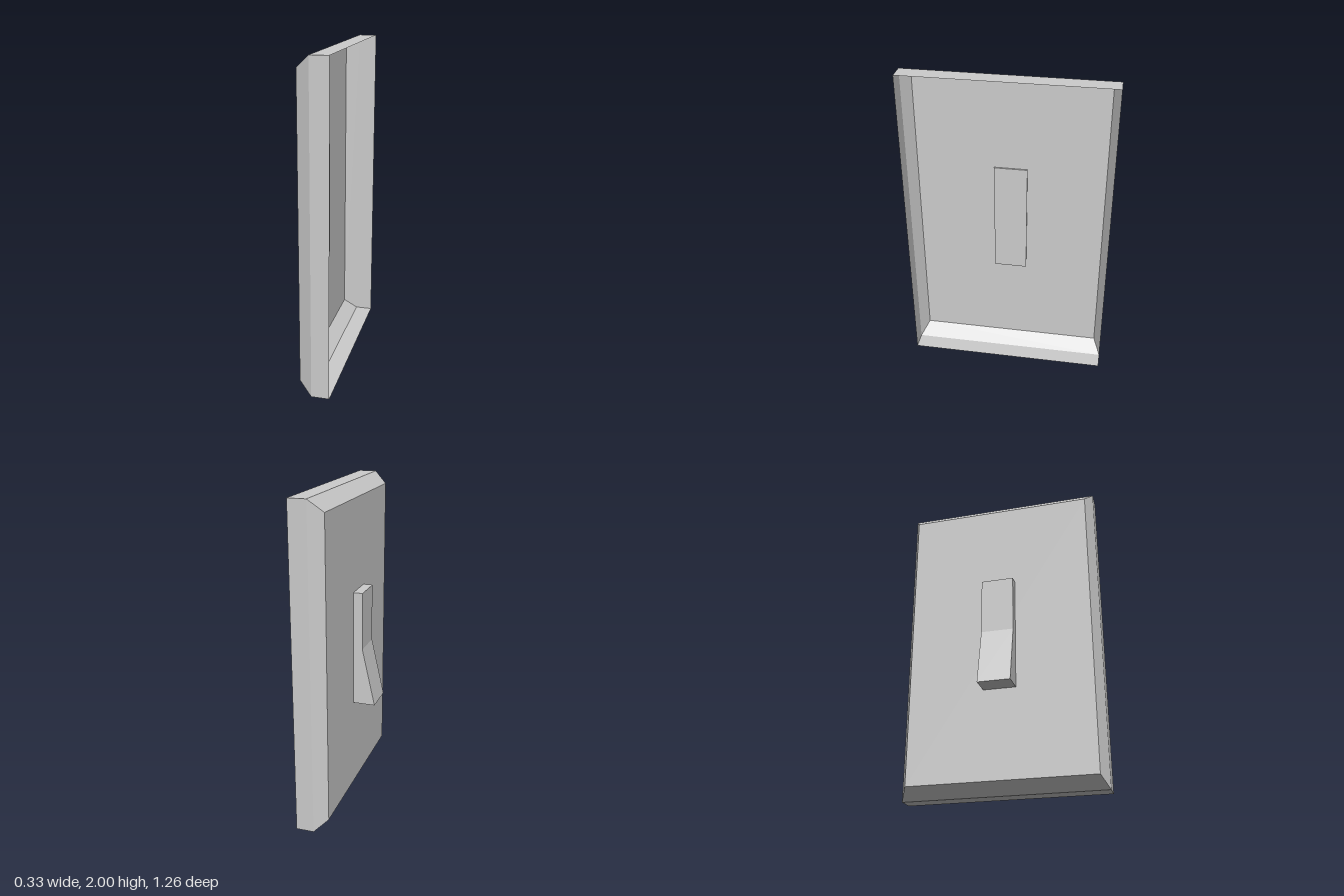
import * as THREE from 'three';

// Thin shell open at +x: rectangular loops joined by flat quads, last loop capped
function shellGeometry(loops) {
  const rings = loops.map(([x, halfY, halfZ]) =>
    [[-1, -1], [-1, 1], [1, 1], [1, -1]].map(([y, z]) => [x, 1 + y * halfY, z * halfZ]));
  const positions = [];
  const quad = (a, b, c, d) => positions.push(...a, ...b, ...c, ...a, ...c, ...d);
  for (let r = 0; r < rings.length - 1; r++) {
    for (let i = 0; i < 4; i++) {
      const j = (i + 1) % 4;
      quad(rings[r][i], rings[r][j], rings[r + 1][j], rings[r + 1][i]);
    }
  }
  quad(...rings[rings.length - 1]);
  const geometry = new THREE.BufferGeometry();
  geometry.setAttribute('position', new THREE.Float32BufferAttribute(positions, 3));
  geometry.computeVertexNormals();
  return geometry;
}

export function createModel() {
  const group = new THREE.Group();
  group.name = 'wallSwitch';
  const material = new THREE.MeshStandardMaterial({
    color: 0xcccccc, flatShading: true, side: THREE.DoubleSide,
  });

  // Cover plate: straight rim, bevel, flat face
  const plate = new THREE.Mesh(shellGeometry([
    [0.165, 1, 0.63],
    [0.055, 1, 0.63],
    [-0.027, 0.927, 0.584],
  ]), material);
  plate.name = 'coverPlate';
  group.add(plate);

  // Rocker: side profile, its back reaching just through the plate
  const profile = new THREE.Shape([
    [-0.018, 0.64], [-0.018, 1.365], [-0.085, 1.365], [-0.085, 1.005], [-0.166, 0.64],
  ].map(([x, y]) => new THREE.Vector2(x, y)));
  const rockerWidth = 0.206;
  const rockerGeometry = new THREE.ExtrudeGeometry(profile, { depth: rockerWidth, bevelEnabled: false });
  rockerGeometry.translate(0, 0, -rockerWidth / 2);
  const rocker = new THREE.Mesh(rockerGeometry, material);
  rocker.name = 'rocker';
  group.add(rocker);

  return group;
}
